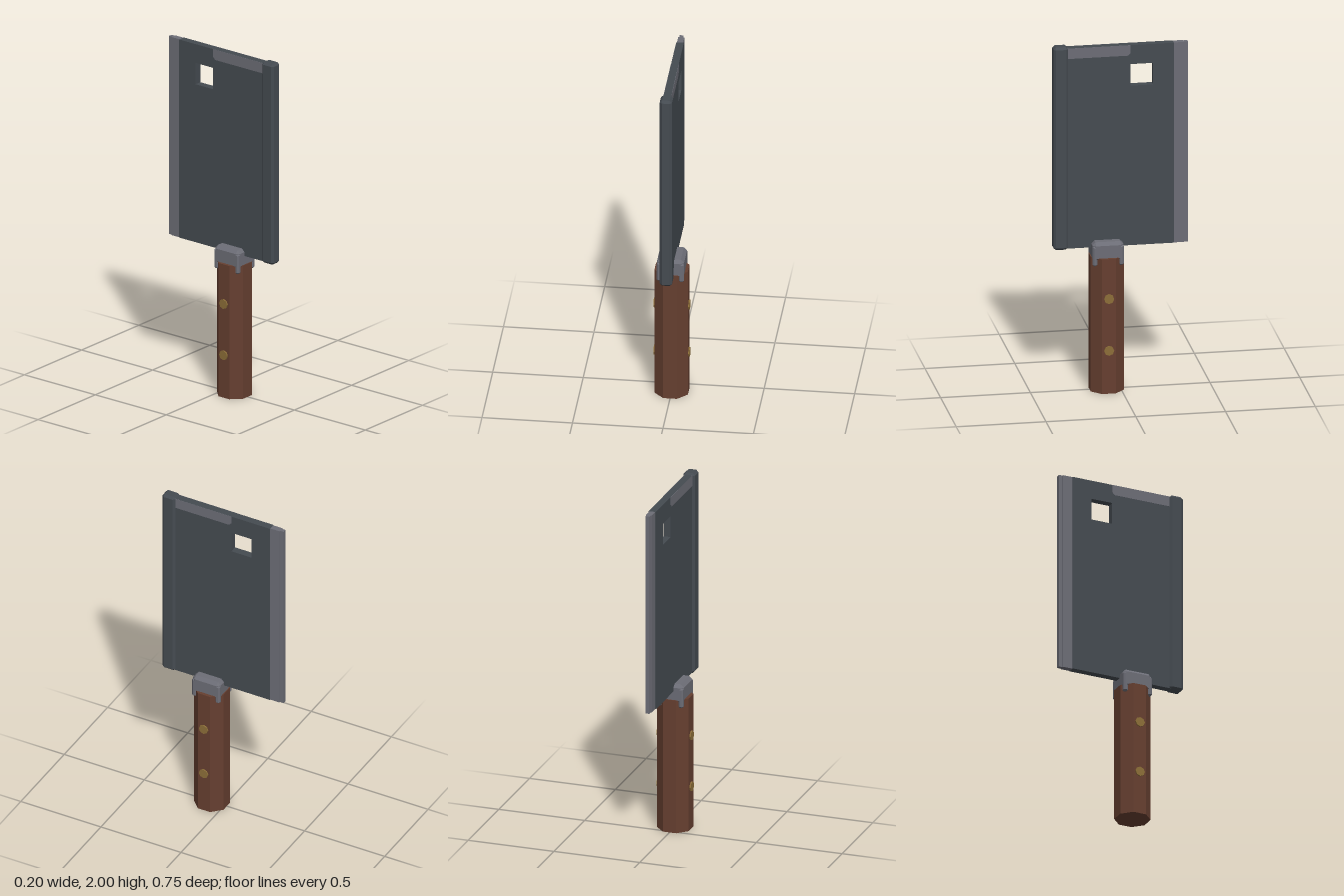
import * as THREE from 'three';
import { ConvexGeometry } from 'three/addons/geometries/ConvexGeometry.js';

const material = (name, color) => Object.assign(new THREE.MeshStandardMaterial({ color }), { name });

// Box with all edges chamfered by c, given as min/max ranges
function chamferBox([x0, x1], [y0, y1], [z0, z1], c) {
  const half = [(x1 - x0) / 2, (y1 - y0) / 2, (z1 - z0) / 2];
  const points = [];
  for (const sx of [-1, 1]) for (const sy of [-1, 1]) for (const sz of [-1, 1]) {
    for (let axis = 0; axis < 3; axis++) {
      const h = half.map((v, i) => (i === axis ? v : v - c));
      points.push(new THREE.Vector3(sx * h[0], sy * h[1], sz * h[2]));
    }
  }
  return new ConvexGeometry(points).translate((x0 + x1) / 2, (y0 + y1) / 2, (z0 + z1) / 2);
}

// Plate outlined in (z, y), centred on the given x
function plate(shape, thickness, x = 0) {
  return new THREE.ExtrudeGeometry(shape, { depth: thickness, bevelEnabled: false })
    .translate(0, 0, -thickness / 2).rotateY(-Math.PI / 2).translate(x, 0, 0);
}

const outline = (pts) => new THREE.Shape(pts.map(([z, y]) => new THREE.Vector2(z, y)));

export function createModel() {
  const group = new THREE.Group();
  const darkSteel = material('dark steel', 0x454b51);
  const lightSteel = material('light steel', 0x6c6d76);
  const wood = material('wood', 0x663f30);
  const brass = material('brass', 0x8c6e38);
  const add = (name, geometry, mat) => {
    const mesh = new THREE.Mesh(geometry, mat);
    mesh.name = name;
    group.add(mesh);
    return mesh;
  };

  const gripZ = 0.078;
  const bottom = 0.83, top = 1.99;

  // Blade with its square hanging hole
  const blade = outline([[-0.295, bottom], [0.31, bottom], [0.31, top], [-0.295, top]]);
  blade.holes.push(outline([[-0.18, 1.755], [-0.18, 1.88], [-0.055, 1.88], [-0.055, 1.755]]));
  add('blade', plate(blade, 0.042), darkSteel);

  // Thick spine
  add('spine', chamferBox([-0.034, 0.034], [0.825, 2], [0.293, 0.375], 0.013), darkSteel);

  // Cutting edge, stepping thinner
  const edge = (z0, z1, w) => new THREE.BoxGeometry(w, top - bottom, z1 - z0)
    .translate(0, (top + bottom) / 2, (z0 + z1) / 2);
  add('edgeBevel', edge(-0.352, -0.295, 0.034), lightSteel);
  add('edgeTip', edge(-0.375, -0.352, 0.022), lightSteel);

  // Worn bright strip along the top, on both faces
  const wear = outline([[0.3, 1.93], [0.3, top], [-0.055, top], [-0.055, 1.945], [-0.04, 1.93]]);
  for (const s of [-1, 1]) add('wornStrip', plate(wear, 0.002, s * 0.0212), lightSteel);

  // Collar with four corner claws gripping the handle
  add('collar', chamferBox([-0.075, 0.075], [0.76, 0.87], [gripZ - 0.087, gripZ + 0.087], 0.018), lightSteel);
  for (const sx of [-1, 1]) for (const sz of [-1, 1]) {
    const x = sx * 0.061, z = gripZ + sz * 0.073;
    add('collarClaw', chamferBox([x - 0.014, x + 0.014], [0.735, 0.85], [z - 0.014, z + 0.014], 0.008), lightSteel);
  }

  // Octagonal handle, flats facing the axes
  const radius = 0.0925 / Math.cos(Math.PI / 8);
  const handle = new THREE.CylinderGeometry(radius, radius, 0.78, 8)
    .rotateY(Math.PI / 8).translate(0, 0.39, gripZ).toNonIndexed();
  handle.computeVertexNormals();
  add('handle', handle, wood);

  // Rivets through the handle
  for (const y of [0.25, 0.55]) {
    const rivet = new THREE.CylinderGeometry(0.028, 0.028, 0.2, 8)
      .rotateZ(Math.PI / 2).translate(0, y, gripZ).toNonIndexed();
    rivet.computeVertexNormals();
    add('rivet', rivet, brass);
  }

  return group;
}
